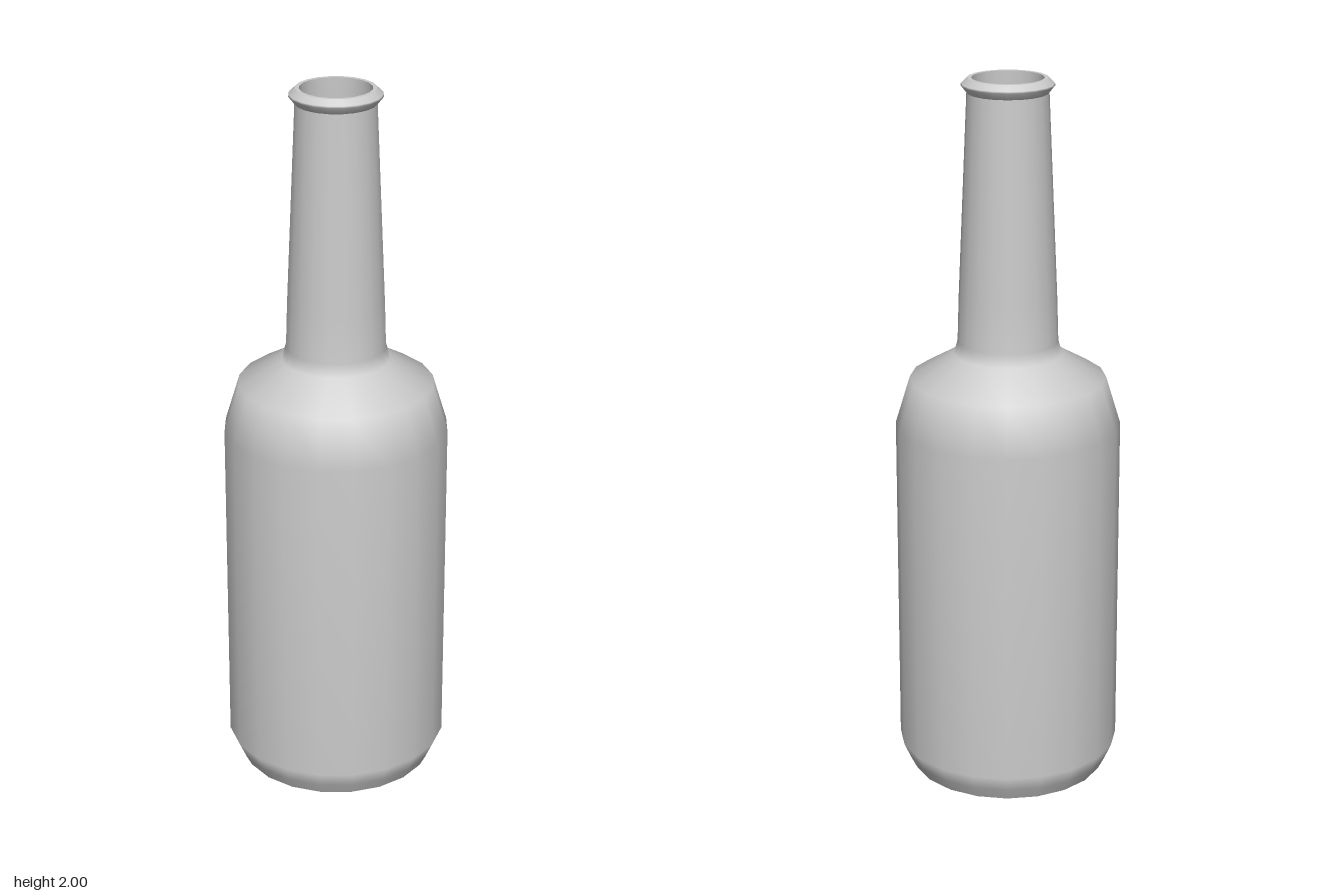
import * as THREE from 'three';

const SIDES = 20;

export function createModel() {
  const bottle = new THREE.Group();
  bottle.name = 'bottle';
  const glass = new THREE.MeshStandardMaterial({ color: 0xcccccc });

  // Revolve a [radius, height] profile; rising profiles face outward, falling ones inward
  const addLathe = (name, profile) => {
    const points = profile.map(([r, y]) => new THREE.Vector2(r, y));
    const mesh = new THREE.Mesh(new THREE.LatheGeometry(points, SIDES), glass);
    mesh.name = name;
    bottle.add(mesh);
  };

  // Hollow pushed up into the underside
  addLathe('basePunt', [[0, 0.06], [0.12, 0.045], [0.225, 0.012]]);
  addLathe('baseRim', [[0.225, 0.012], [0.24, 0], [0.275, 0]]);

  // Outer wall: chamfered foot, straight body, shoulder and tapering neck
  addLathe('bodyAndNeck', [
    [0.275, 0], [0.293, 0.035], [0.313, 0.08], [0.313, 1.03], [0.272, 1.165],
    [0.15, 1.235], [0.139, 1.27], [0.135, 1.4], [0.111, 1.96],
  ]);

  // Rolled lip around the mouth
  addLathe('lip', [[0.111, 1.96], [0.127, 1.98], [0.125, 1.985], [0.109, 2]]);
  addLathe('mouthRim', [[0.109, 2], [0.098, 2]]);

  // Inner wall, parallel to the outside, closed by the inner floor
  addLathe('innerWall', [
    [0.098, 2], [0.099, 1.96], [0.122, 1.4], [0.126, 1.27], [0.138, 1.225],
    [0.262, 1.155], [0.3, 1.03], [0.3, 0.085], [0.265, 0.025],
  ]);
  addLathe('innerFloor', [[0.265, 0.025], [0.225, 0.027], [0.12, 0.06], [0, 0.075]]);

  return bottle;
}
